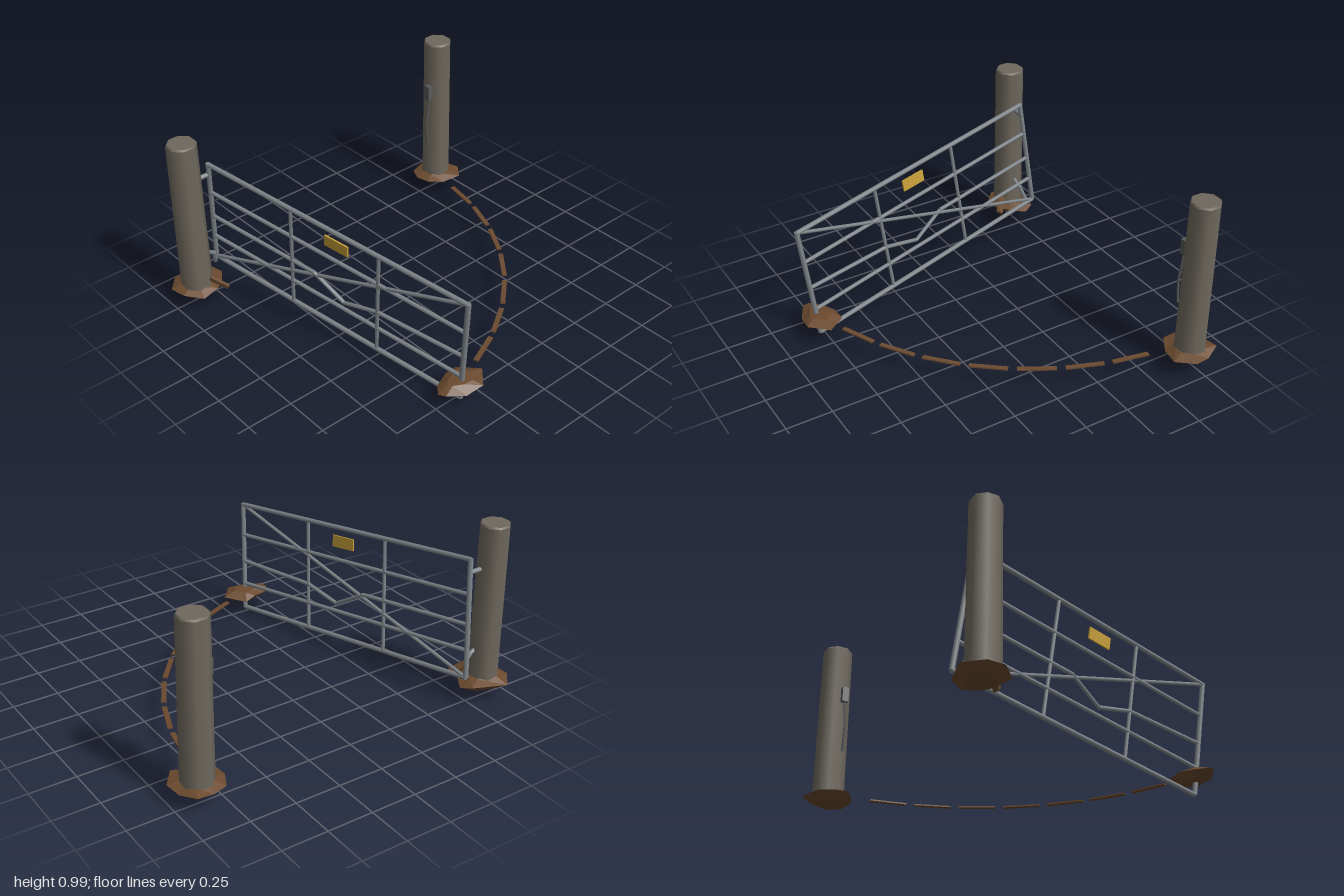
import * as THREE from 'three';

const mat = (name, color, extra = {}) => {
  const m = new THREE.MeshStandardMaterial({ color, ...extra });
  m.name = name;
  return m;
};
const V = (x, y, z) => new THREE.Vector3(x, y, z);

export function createModel() {
  const root = new THREE.Group();
  const steel = mat('galvanised steel', 0x7d8388);
  const iron = mat('dark iron', 0x585a5a);
  const wood = mat('weathered post', 0x6e685d);
  const soil = mat('soil', 0x6b4a2f, { flatShading: true });
  const gold = mat('yellow sign', 0xc9a038);

  const add = (parent, name, geo, material) => {
    const m = new THREE.Mesh(geo, material);
    m.name = name;
    parent.add(m);
    return m;
  };
  const group = (name) => {
    const g = new THREE.Group();
    g.name = name;
    root.add(g);
    return g;
  };
  // round bar between two points
  const bar = (parent, name, a, b, r, material = steel, sides = 8) => {
    const d = b.clone().sub(a);
    const m = add(parent, name, new THREE.CylinderGeometry(r, r, d.length(), sides), material);
    m.position.copy(a).add(b).multiplyScalar(0.5);
    m.quaternion.setFromUnitVectors(V(0, 1, 0), d.normalize());
    return m;
  };
  const chain = (parent, name, pts, r, material = steel) => {
    for (let i = 1; i < pts.length; i++) bar(parent, name, pts[i - 1], pts[i], r, material);
  };

  // Gate plane: u runs from hinge to free end, v from top to bottom
  const TH = V(-0.735, 0.815, -0.725), TF = V(-0.395, 0.645, 0.845);
  const BH = V(-0.695, 0.185, -0.8), BF = V(-0.36, 0.016, 0.775);
  const P = (u, v) => TH.clone().lerp(TF, u).lerp(BH.clone().lerp(BF, u), v);

  // Sagging gate: frame, rails, uprights, brace
  const gate = group('gate');
  for (const v of [0, 1]) bar(gate, 'frameRail', P(0, v), P(1, v), 0.013);
  for (const u of [0, 1]) bar(gate, 'frameStile', P(u, -0.01), P(u, 1), 0.014);
  for (const v of [0.29, 0.765]) bar(gate, 'rail', P(0, v), P(1, v), 0.011);
  for (const u of [0.34, 0.68]) bar(gate, 'upright', P(u, 0), P(u, 1), 0.01);
  chain(gate, 'bentRail', [P(0, 0.545), P(0.43, 0.545), P(0.55, 0.695), P(0.68, 0.59), P(1, 0.545)], 0.011);
  bar(gate, 'brace', P(1, 0), P(0, 1), 0.01);

  // Sign plate aligned with the gate
  const ex = TF.clone().sub(TH).normalize();
  const ez = ex.clone().cross(TH.clone().sub(BH)).normalize();
  const ey = ez.clone().cross(ex);
  const sign = add(gate, 'signPlate', new THREE.BoxGeometry(0.145, 0.065, 0.009), gold);
  sign.quaternion.setFromRotationMatrix(new THREE.Matrix4().makeBasis(ex, ey, ez));
  sign.position.copy(P(0.52, 0.127));

  // Posts with a bevelled top
  for (const [x, name] of [[-0.87, 'hingePost'], [0.87, 'latchPost']]) {
    const g = group(name);
    const body = add(g, 'postBody', new THREE.CylinderGeometry(0.08, 0.085, 0.89, 8, 1, true), wood);
    body.position.set(x, 0.535, -0.738);
    const cap = add(g, 'postCap', new THREE.CylinderGeometry(0.074, 0.08, 0.01, 8), wood);
    cap.position.set(x, 0.985, -0.738);
    body.rotation.y = cap.rotation.y = Math.PI / 8;
  }

  // Faceted soil mound from a rim outline, with narrower rings above and below
  const mound = (name, cx, cz, rim, bottom, mid, top) => {
    const n = rim.length, pos = [], idx = [];
    const rings = [[0, bottom], [0.62, bottom + 0.006], [1, mid], [0.55, top - 0.006], [0, top]];
    rings.forEach(([s, y], k) => rim.forEach(([x, z], i) => {
      const wob = k === 2 ? 0.009 * Math.sin(i * 2.3) : 0;
      pos.push(cx + (x - cx) * s, y + wob, cz + (z - cz) * s);
    }));
    for (let k = 0; k < rings.length - 1; k++) for (let i = 0; i < n; i++) {
      const j = (i + 1) % n, a = k * n + i, b = k * n + j, c = a + n, d = b + n;
      if (k > 0) idx.push(a, b, c);
      if (k < rings.length - 2) idx.push(b, d, c);
      if (k === 0) idx.push();
      if (k === rings.length - 2) continue;
    }
    const geo = new THREE.BufferGeometry();
    geo.setAttribute('position', new THREE.Float32BufferAttribute(pos, 3));
    geo.setIndex(idx);
    geo.computeVertexNormals();
    add(root, name, geo, soil);
  };
  // rims run from the left round the front (+z) to the right and back
  mound('hingePostMound', -0.87, -0.745, [[-1, -0.79], [-0.985, -0.69], [-0.91, -0.615], [-0.81, -0.63],
    [-0.75, -0.68], [-0.7, -0.76], [-0.73, -0.82], [-0.92, -0.88]], 0.065, 0.11, 0.142);
  mound('latchPostMound', 0.87, -0.73, [[0.73, -0.75], [0.74, -0.67], [0.82, -0.62], [0.93, -0.59],
    [1, -0.68], [0.985, -0.77], [0.94, -0.86], [0.85, -0.855], [0.77, -0.83]], 0.068, 0.11, 0.137);
  mound('freeEndMound', -0.36, 0.77, [[-0.505, 0.77], [-0.49, 0.81], [-0.4, 0.86], [-0.3, 0.87],
    [-0.215, 0.775], [-0.3, 0.67], [-0.37, 0.685], [-0.46, 0.715]], 0.08, 0.115, 0.147);

  // Loose clod leaning on the hinge post
  const clod = bar(root, 'soilClod', V(-0.83, 0.17, -0.67), V(-0.76, 0.11, -0.61), 0.024, soil, 5);
  clod.scale.z = 0.6;

  // Hinges: straight at the top, bent at the bottom
  const hinges = group('hinges');
  bar(hinges, 'topHinge', V(-0.81, 0.75, -0.735), V(-0.73, 0.75, -0.735), 0.013);
  chain(hinges, 'bentHinge', [V(-0.82, 0.3, -0.735), V(-0.775, 0.277, -0.737), V(-0.745, 0.255, -0.745),
    V(-0.725, 0.18, -0.77)], 0.012);

  // Latch box with a hanging chain
  const latch = group('latch');
  const box = add(latch, 'latchBox', new THREE.BoxGeometry(0.035, 0.085, 0.035), iron);
  box.position.set(0.785, 0.69, -0.715);
  const curve = new THREE.CatmullRomCurve3([V(0.785, 0.66, -0.71), V(0.778, 0.58, -0.71),
    V(0.766, 0.49, -0.71), V(0.77, 0.42, -0.71), V(0.777, 0.35, -0.71)]);
  add(latch, 'hangingChain', new THREE.TubeGeometry(curve, 16, 0.007, 6), iron);

  // Dashed swing track on the ground
  const track = group('swingTrack');
  const R = 1.54, rad = Math.PI / 180;
  for (let i = 0; i < 7; i++) {
    const t = (8.2 + 9.1 * i + 3.7) * rad;
    const dash = add(track, 'trackDash', new THREE.BoxGeometry(0.026, 0.008, 0.2), soil);
    dash.position.set(-0.72 + R * Math.cos(t), 0.116, -0.74 + R * Math.sin(t));
    dash.rotation.y = -t;
  }
  return root;
}
